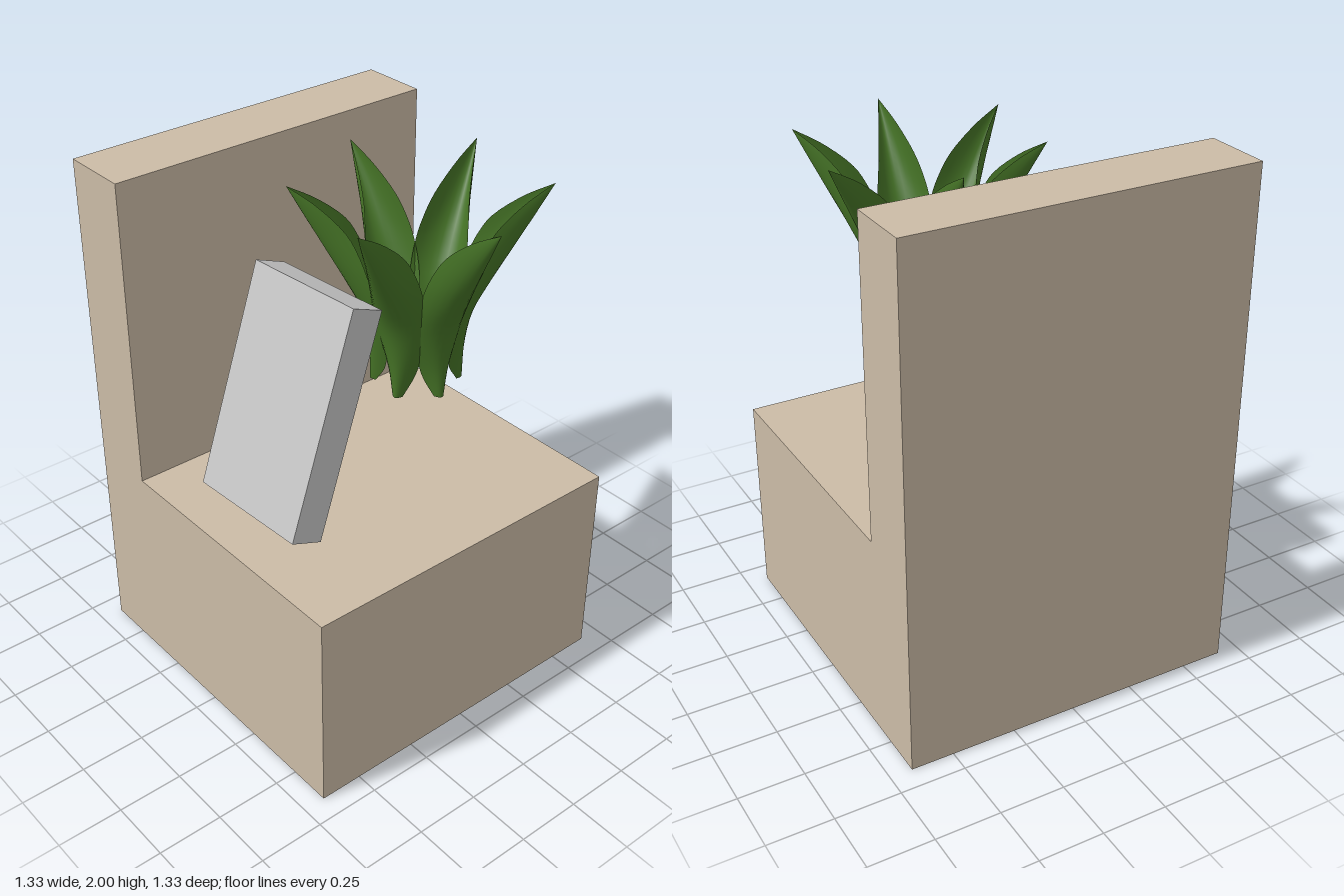
import * as THREE from 'three';

const wood = new THREE.MeshStandardMaterial({ color: 0xcbbba6 });
wood.name = 'beige';
const grey = new THREE.MeshStandardMaterial({ color: 0xc4c4c4 });
grey.name = 'lightGrey';
const green = new THREE.MeshStandardMaterial({ color: 0x457326, side: THREE.DoubleSide });
green.name = 'leafGreen';

// L-shaped block: low seat with a tall wall on the -x side
function makeBlock() {
  const s = new THREE.Shape([
    [-0.665, 0], [0.665, 0], [0.665, 0.8], [-0.4, 0.8], [-0.4, 2], [-0.665, 2],
  ].map(([x, y]) => new THREE.Vector2(x, y)));
  const geo = new THREE.ExtrudeGeometry(s, { depth: 1.33, bevelEnabled: false });
  geo.translate(0, 0, -0.665);
  const mesh = new THREE.Mesh(geo, wood);
  mesh.name = 'steppedBlock';
  return mesh;
}

// Pointed leaf cupped towards the middle of the plant
function leafGeometry() {
  const spine = new THREE.CatmullRomCurve3([ // radius of the midrib, height
    [0.165, 0], [0.17, 0.15], [0.195, 0.28], [0.26, 0.41], [0.325, 0.525], [0.39, 0.64], [0.45, 0.75],
  ].map(([r, y]) => new THREE.Vector3(r, y, 0)));
  const rim = new THREE.CatmullRomCurve3([ // radius, height and half-width of the edge
    [0.145, 0, 0.02], [0.112, 0.075, 0.05], [0.12, 0.2, 0.085], [0.148, 0.34, 0.104], [0.18, 0.45, 0.1],
    [0.208, 0.525, 0.087], [0.25, 0.6, 0.067], [0.35, 0.69, 0.032], [0.45, 0.75, 0],
  ].map(p => new THREE.Vector3(...p)));
  const cols = 12, rows = 28;
  const spinePts = spine.getPoints(120);
  const radiusAt = y => {
    const i = Math.max(1, spinePts.findIndex(p => p.y >= y - 1e-6));
    const a = spinePts[i - 1], b = spinePts[i];
    return THREE.MathUtils.mapLinear(y, a.y, b.y, a.x, b.x);
  };
  const geo = new THREE.PlaneGeometry(1, 1, cols, rows);
  const pos = geo.attributes.position;
  for (let j = 0; j <= rows; j++) {
    const e = rim.getPoint(j / rows);
    const y = THREE.MathUtils.clamp(e.y, 0, 0.75);
    const c = radiusAt(y);
    for (let i = 0; i <= cols; i++) {
      const u = (i / cols) * 2 - 1;
      pos.setXYZ(j * (cols + 1) + i, c + (e.x - c) * u * u, y, e.z * u);
    }
  }
  geo.computeVertexNormals();
  return geo;
}

export function createModel() {
  const model = new THREE.Group();
  model.name = 'steppedBlockWithPlant';
  model.add(makeBlock());

  // Slab leaning back on the seat
  const slab = new THREE.Mesh(new THREE.BoxGeometry(0.535, 0.85, 0.13), grey);
  slab.name = 'leaningSlab';
  slab.position.set(0.053, 1.238, 0.317);
  slab.rotation.set(-0.373, 0, 0.06, 'ZYX');
  model.add(slab);

  // Ring of six leaves
  const plant = new THREE.Group();
  plant.name = 'plant';
  plant.position.set(0.196, 1.22, -0.152);
  const geo = leafGeometry();
  for (let i = 0; i < 6; i++) {
    const leaf = new THREE.Mesh(geo, green);
    leaf.name = 'leaf' + (i + 1);
    leaf.rotation.y = -THREE.MathUtils.degToRad(8 + i * 60);
    plant.add(leaf);
  }
  model.add(plant);
  return model;
}
